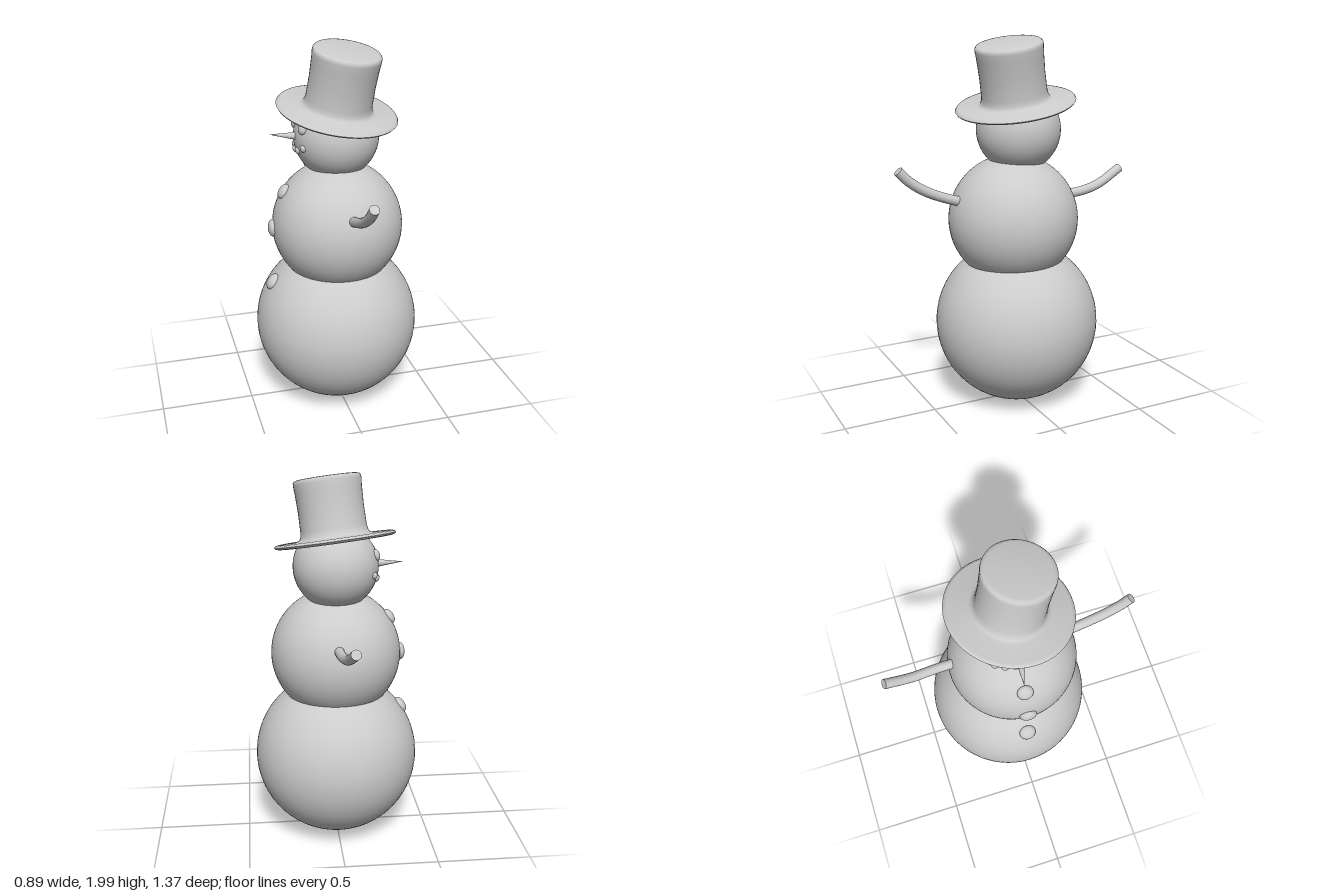
import * as THREE from 'three';
import { toCreasedNormals } from 'three/addons/utils/BufferGeometryUtils.js';

export function createModel() {
  const root = new THREE.Group();
  const grey = new THREE.MeshStandardMaterial({ color: 0xcccccc });
  const V = (x, y, z) => new THREE.Vector3(x, y, z);
  const up = V(0, 1, 0);

  const add = (name, geometry, position = V(0, 0, 0)) => {
    const mesh = new THREE.Mesh(geometry, grey);
    mesh.name = name;
    mesh.position.copy(position);
    root.add(mesh);
    return mesh;
  };

  // Three stacked snowballs
  const ball = (name, r, centre) => {
    add(name, new THREE.SphereGeometry(r, 64, 40), centre);
    return { r, centre };
  };
  const base = ball('lowerBody', 0.445, V(0, 0.452, 0));
  const torso = ball('upperBody', 0.35, V(0, 1.03, 0.02));
  const head = ball('head', 0.225, V(0.003, 1.512, -0.01));

  // Flattened pebble on the face side (-x) of a ball, at a given height and z
  const pebble = (name, { r, centre }, y, z, size, depth) => {
    const dy = y - centre.y, dz = z - centre.z;
    const normal = V(-Math.sqrt(r * r - dy * dy - dz * dz), dy, dz).normalize();
    const mesh = add(name, new THREE.SphereGeometry(size, 24, 16), normal.clone().multiplyScalar(r).add(centre));
    mesh.scale.y = depth / size;
    mesh.quaternion.setFromUnitVectors(up, normal);
  };

  // Buttons down the front
  pebble('button', torso, 1.23, 0, 0.043, 0.024);
  pebble('button', torso, 1.03, 0, 0.047, 0.026);
  pebble('button', base, 0.715, 0, 0.046, 0.026);

  // Eyes
  for (const z of [-0.07, 0.07]) pebble('eye', head, 1.58, z, 0.03, 0.018);

  // Smile made of small pebbles
  const smile = [[-33, 1.485], [-19, 1.46], [-5, 1.45], [10, 1.455], [26, 1.48]];
  for (const [deg, y] of smile) {
    pebble('mouthPebble', head, y, head.centre.z + 0.218 * Math.sin(deg * Math.PI / 180), 0.019, 0.014);
  }

  // Carrot nose
  const noseBase = V(-0.19, 1.522, -0.005), noseTip = V(-0.35, 1.535, -0.03);
  const noseLine = noseTip.clone().sub(noseBase);
  const nose = add('nose', new THREE.ConeGeometry(0.024, noseLine.length(), 20),
    noseBase.clone().add(noseTip).multiplyScalar(0.5));
  nose.quaternion.setFromUnitVectors(up, noseLine.normalize());

  // Curved stick arms with flat cut ends
  const arm = (name, points) => {
    const curve = new THREE.CatmullRomCurve3(points);
    const r = 0.026;
    add(name, new THREE.TubeGeometry(curve, 16, r, 16));
    for (const [t, sign] of [[0, -1], [1, 1]]) {
      const cap = add(name + 'End', new THREE.CircleGeometry(r, 16), curve.getPointAt(t));
      cap.quaternion.setFromUnitVectors(V(0, 0, 1), curve.getTangentAt(t).multiplyScalar(sign));
    }
  };
  arm('raisedArm', [V(0, 1.14, 0.27), V(0, 1.165, 0.37), V(0, 1.225, 0.52), V(0, 1.285, 0.61), V(0, 1.342, 0.665)]);
  arm('loweredArm', [V(0.012, 1.135, -0.27), V(0.006, 1.143, -0.4), V(-0.01, 1.168, -0.52), V(-0.03, 1.245, -0.673)]);

  // Top hat: one turned profile, tilted
  const profile = [
    [0, -0.012], [0.3, -0.012], [0.314, -0.008], [0.32, 0], [0.314, 0.008], [0.3, 0.012],
    [0.2, 0.014], [0.186, 0.02], [0.178, 0.034], [0.174, 0.06], [0.172, 0.16], [0.175, 0.26],
    [0.178, 0.3], [0.177, 0.314], [0.17, 0.322], [0.155, 0.325], [0, 0.325],
  ].map(([x, y]) => new THREE.Vector2(x, y));
  const hat = add('topHat', toCreasedNormals(new THREE.LatheGeometry(profile, 48), 0.9), V(0.004, 1.648, 0.008));
  hat.quaternion.setFromUnitVectors(up, V(0.123, 1, 0.185).normalize());

  return root;
}
